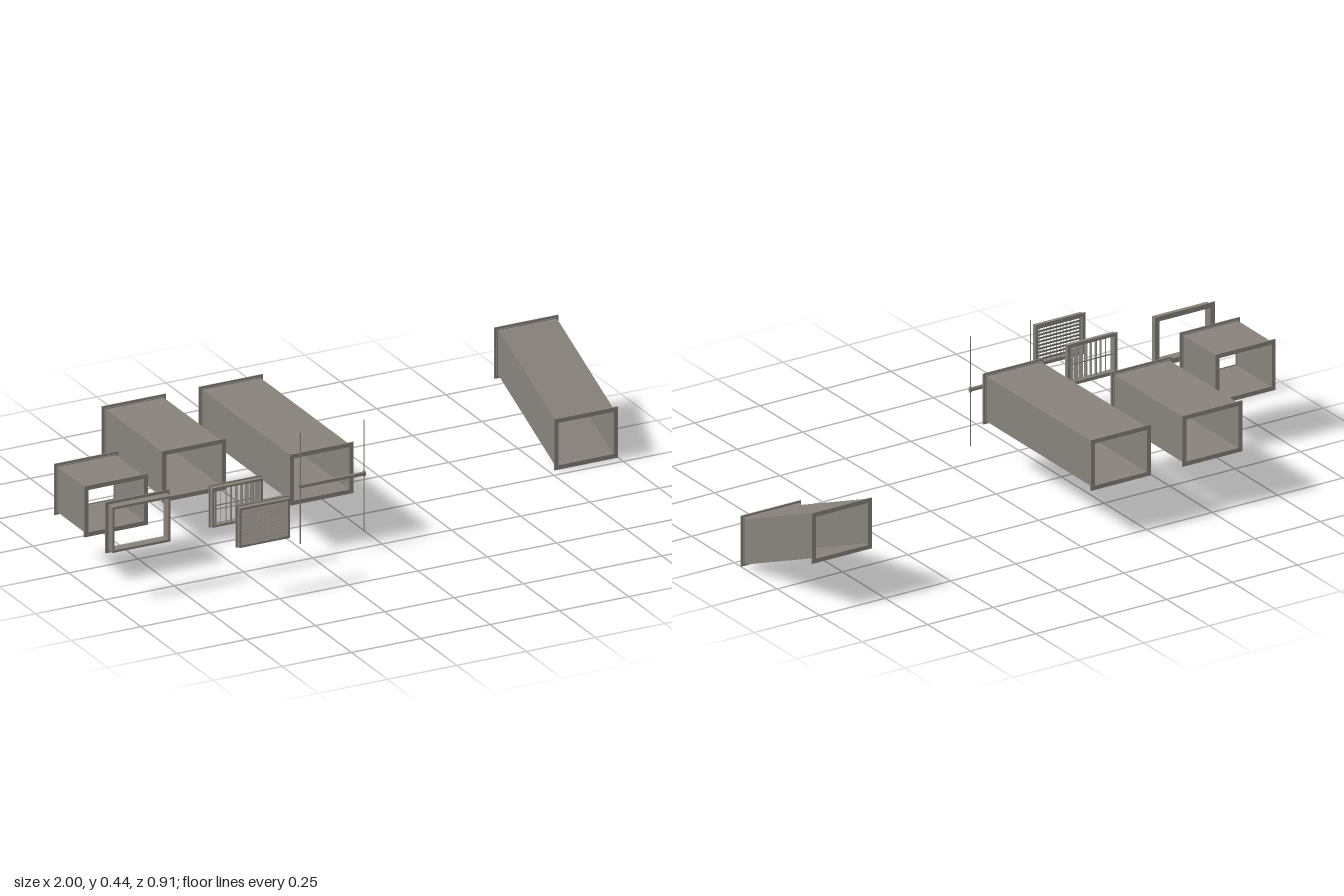
import * as THREE from 'three';

const metal = new THREE.MeshStandardMaterial({ color: 0x87827b });
metal.name = 'galvanised grey';

const W = 0.21, H = 0.158;      // duct section
const FW = 0.23, FH = 0.177;    // flange section
const MID = 0.2515, LOW = 0.0885;

// rectangular tube along z, from z = 0 to depth
function ringGeometry(w, h, iw, ih, depth, steps = 1) {
  const rect = (P, a, b) => {
    const p = new P();
    p.moveTo(-a / 2, -b / 2);
    p.lineTo(a / 2, -b / 2);
    p.lineTo(a / 2, b / 2);
    p.lineTo(-a / 2, b / 2);
    p.closePath();
    return p;
  };
  const shape = rect(THREE.Shape, w, h);
  shape.holes.push(rect(THREE.Path, iw, ih));
  return new THREE.ExtrudeGeometry(shape, { depth, steps, bevelEnabled: false });
}

function add(parent, name, geometry, x = 0, y = 0, z = 0) {
  const mesh = new THREE.Mesh(geometry, metal);
  mesh.name = name;
  mesh.position.set(x, y, z);
  parent.add(mesh);
  return mesh;
}

function group(parent, name, x, y, z) {
  const g = new THREE.Group();
  g.name = name;
  g.position.set(x, y, z);
  parent.add(g);
  return g;
}

// end flange with a raised collar; dir points towards the duct body
function addFlange(parent, y, z, dir) {
  const t = 0.004, collar = 0.008;
  add(parent, 'flange', ringGeometry(FW, FH, 0.2, 0.147, t), 0, y, dir > 0 ? z : z - t);
  add(parent, 'flangeCollar', ringGeometry(W + 0.005, H + 0.005, W - 0.002, H - 0.002, collar),
    0, y, dir > 0 ? z : z - collar);
}

function addDuct(root, name, x, z0, z1) {
  const g = group(root, name, x, MID, 0);
  add(g, 'ductWalls', ringGeometry(W, H, W - 0.006, H - 0.006, z1 - z0 - 0.002), 0, 0, z0 + 0.001);
  addFlange(g, 0, z0, 1);
  addFlange(g, 0, z1, -1);
}

// duct that drops by one duct height towards the front
function addOffsetDuct(root, x) {
  const g = group(root, 'offsetDuct', x, 0, 0);
  const geo = ringGeometry(W, H, W - 0.006, H - 0.006, 3, 3);
  const stations = [[-0.454, MID], [-0.434, MID], [-0.057, LOW + 0.003], [-0.036, LOW + 0.003]];
  const p = geo.attributes.position;
  for (let i = 0; i < p.count; i++) {
    const [z, y] = stations[Math.round(p.getZ(i))];
    p.setY(i, p.getY(i) + y);
    p.setZ(i, z);
  }
  geo.computeVertexNormals();
  add(g, 'offsetWalls', geo);
  addFlange(g, MID, -0.455, 1);
  addFlange(g, LOW, -0.035, -1);
}

// shallow rim shared by the grille and the louvre
function addRim(parent) {
  add(parent, 'rimFlange', ringGeometry(0.192, 0.145, 0.168, 0.122, 0.004));
  add(parent, 'rim', ringGeometry(0.182, 0.137, 0.168, 0.122, 0.02));
}

export function createModel() {
  const root = new THREE.Group();
  root.name = 'ductworkKit';

  // straight and offset ducts
  addDuct(root, 'shortDuct', -0.885, -0.105, 0.107);
  addDuct(root, 'mediumDuct', -0.53, -0.456, -0.035);
  addDuct(root, 'longDuct', -0.18, -0.456, 0.178);
  addOffsetDuct(root, 0.885);

  // open connector collar
  const connector = group(root, 'connectorCollar', -0.885, MID, 0.25);
  add(connector, 'connectorFlange', ringGeometry(FW, FH, 0.194, 0.142, 0.005));
  add(connector, 'connectorBody', ringGeometry(W, H, 0.194, 0.142, 0.033));

  // grille with splayed vertical blades
  const grille = group(root, 'grille', -0.53, MID, 0.248);
  addRim(grille);
  for (let i = -4; i <= 4; i++) {
    const blade = add(grille, 'grilleBlade', new THREE.BoxGeometry(0.0015, 0.122, 0.015), i * 0.0185, 0, 0.01);
    blade.rotation.y = i * 0.16;
  }
  add(grille, 'grilleCrossbar', new THREE.BoxGeometry(0.168, 0.003, 0.004), 0, 0, 0.004);

  // weather louvre with sloping slats and a wire screen behind
  const louvre = group(root, 'weatherLouvre', -0.53, MID, 0.436);
  addRim(louvre);
  for (let i = -5; i <= 4; i++) {
    const slat = add(louvre, 'louvreSlat', new THREE.BoxGeometry(0.168, 0.018, 0.0012), 0, (i + 0.5) * 0.0122, 0.012);
    slat.rotation.x = -Math.PI / 4;
  }
  for (let i = -6; i <= 6; i++) {
    add(louvre, 'screenWire', new THREE.BoxGeometry(0.0012, 0.122, 0.0012), i * 0.0128, 0, 0.002);
  }

  // trapeze hanger: two rods, a bar and nuts
  const hanger = group(root, 'hanger', -0.18, MID, 0.25);
  add(hanger, 'hangerBar', new THREE.BoxGeometry(0.24, 0.01, 0.01), 0, 0.006, 0);
  for (const s of [-1, 1]) {
    add(hanger, 'hangerRod', new THREE.CylinderGeometry(0.002, 0.002, 0.386, 8), s * 0.115, 0, 0);
    for (const y of [-0.001, 0.013]) {
      add(hanger, 'hangerNut', new THREE.CylinderGeometry(0.0045, 0.0045, 0.004, 6), s * 0.115, y, 0);
    }
  }
  return root;
}
